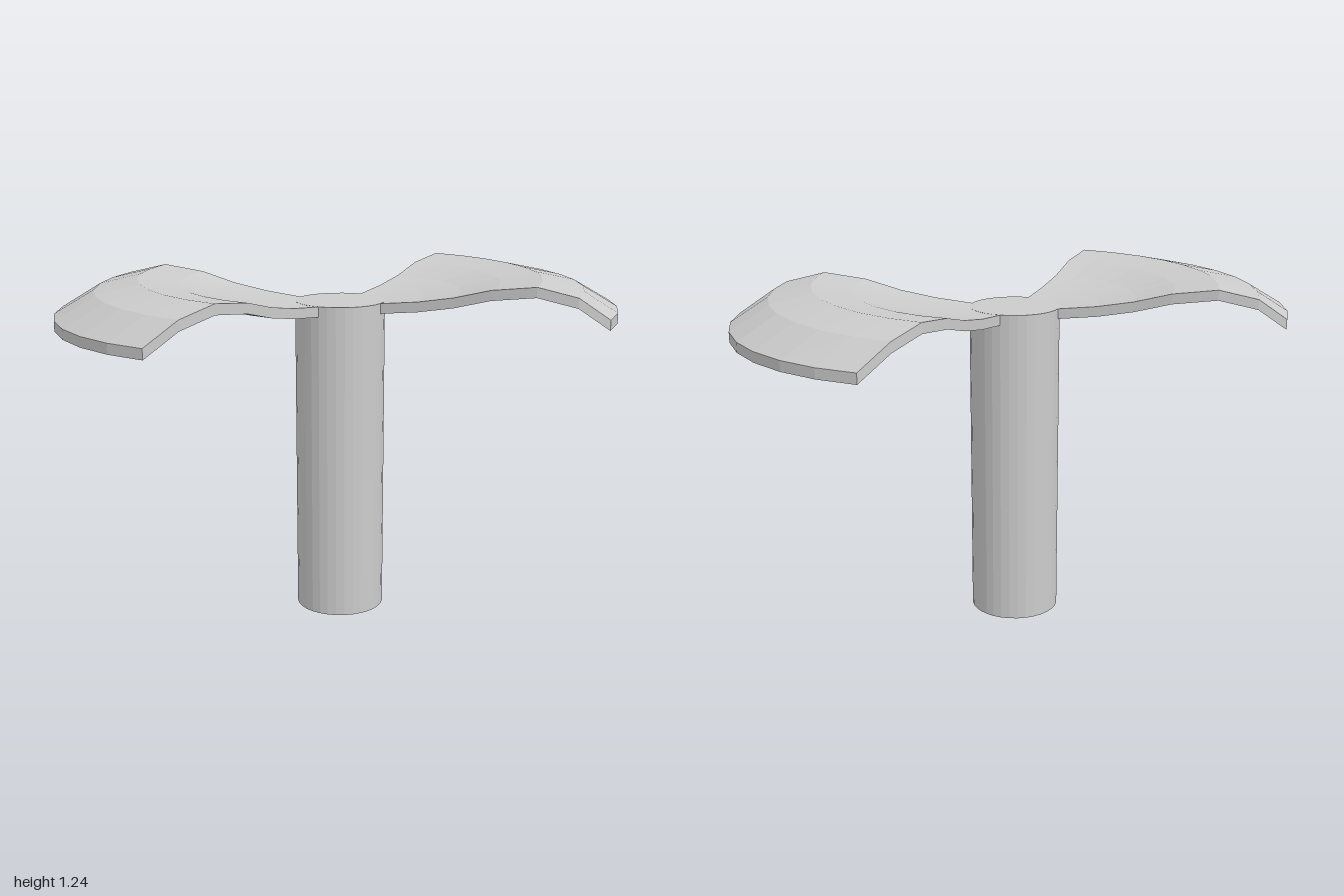
import * as THREE from 'three';

const material = new THREE.MeshStandardMaterial({ color: 0xcccccc, flatShading: true });
const THICKNESS = 0.036;
const COLUMNS = 8;

// Blade rows from root to tip: [centre radius, edge x, edge z, top height]
const ROWS = [
  [0.155, 0.11, 0.11, 1.145],
  [0.30, 0.22, 0.20, 1.16],
  [0.43, 0.32, 0.28, 1.182],
  [0.57, 0.42, 0.365, 1.216],
  [0.71, 0.545, 0.46, 1.235],
  [0.86, 0.67, 0.52, 1.202],
  [1.00, 0.785, 0.535, 1.124],
];

// Closed fan-shaped shell: each row is an arc at constant height
function bladeGeometry() {
  const positions = [];
  const index = [];
  const stride = COLUMNS + 1;
  const layer = ROWS.length * stride;
  for (const drop of [0, THICKNESS]) {
    for (const [radius, ex, ez, y] of ROWS) {
      const edgeAngle = Math.atan2(ez, ex);
      const edgeRadius = Math.hypot(ex, ez);
      for (let c = 0; c <= COLUMNS; c++) {
        const t = (c / COLUMNS) * 2 - 1;
        const r = radius + (edgeRadius - radius) * t * t;
        positions.push(r * Math.cos(t * edgeAngle), y - drop, r * Math.sin(t * edgeAngle));
      }
    }
  }
  const quad = (a, b, c, d) => index.push(a, b, c, a, c, d);
  const id = (row, col) => row * stride + col;

  // Upper and lower skins
  for (let r = 0; r < ROWS.length - 1; r++) {
    for (let c = 0; c < COLUMNS; c++) {
      const a = id(r, c), b = id(r, c + 1), d = id(r + 1, c + 1), e = id(r + 1, c);
      quad(a, b, d, e);
      quad(layer + a, layer + e, layer + d, layer + b);
    }
  }
  // Rim walls around the outline
  const wall = (a, b) => quad(a, b, layer + b, layer + a);
  const last = ROWS.length - 1;
  for (let c = 0; c < COLUMNS; c++) {
    wall(id(0, c + 1), id(0, c));
    wall(id(last, c), id(last, c + 1));
  }
  for (let r = 0; r < last; r++) {
    wall(id(r, 0), id(r + 1, 0));
    wall(id(r + 1, COLUMNS), id(r, COLUMNS));
  }
  const geometry = new THREE.BufferGeometry();
  geometry.setAttribute('position', new THREE.Float32BufferAttribute(positions, 3));
  geometry.setIndex(index);
  const flat = geometry.toNonIndexed();
  flat.computeVertexNormals();
  return flat;
}

export function createModel() {
  const model = new THREE.Group();
  model.name = 'twoBladePropeller';

  // Shaft
  const shaft = new THREE.Mesh(new THREE.CylinderGeometry(0.16, 0.16, 1.146, 32), material);
  shaft.name = 'shaft';
  shaft.position.y = 0.573;
  model.add(shaft);

  // Two opposite blades
  const geometry = bladeGeometry();
  ['leftBlade', 'rightBlade'].forEach((name, i) => {
    const blade = new THREE.Mesh(geometry, material);
    blade.name = name;
    blade.rotation.y = i * Math.PI;
    model.add(blade);
  });
  return model;
}
